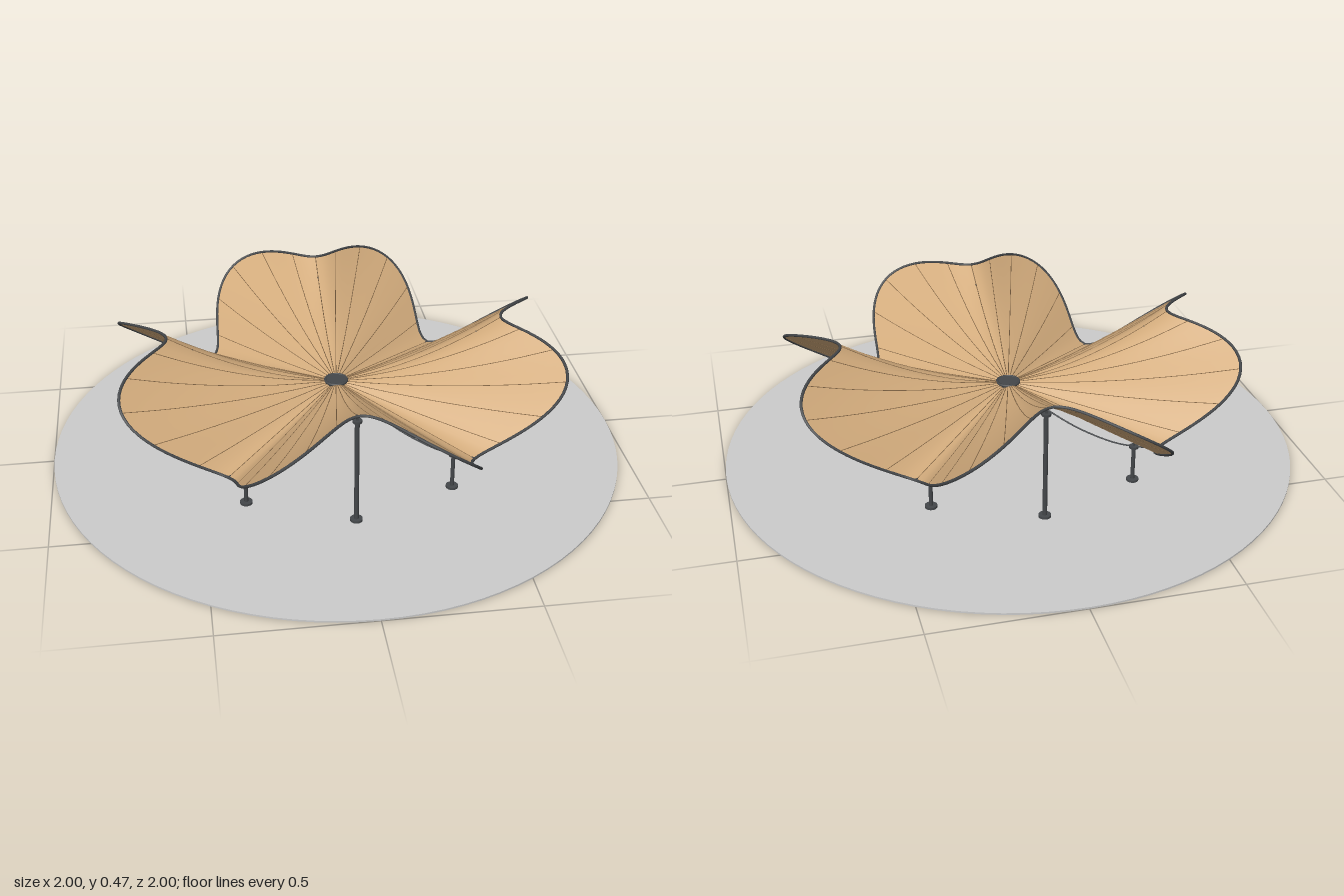
import * as THREE from 'three';

const CENTRE_Y = 0.25;
const mat = (color, extra = {}) => new THREE.MeshStandardMaterial({ color, roughness: 0.8, ...extra });

// 0 on a high ridge (along the axes), 1 in a low valley (along the diagonals)
function valleyness(angle) {
  const quarter = Math.PI / 2;
  const u = ((angle % quarter) + quarter) % quarter;
  return Math.min(u, quarter - u) / (Math.PI / 4);
}

// Point of the canopy at a given angle, s = 0 at the hub and 1 at the rim
function canopyPoint(angle, s, lift = 0) {
  const t = valleyness(angle);
  const r = s * (0.58 + 0.22 * Math.sin(4 * angle) ** 2);
  const rimY = 0.307 + 0.153 * Math.cos(Math.PI * t ** 1.4);
  const sag = 0.037 * (1 - t);
  const y = CENTRE_Y + (rimY - CENTRE_Y) * s - sag * 4 * s * (1 - s);
  return new THREE.Vector3(r * Math.cos(angle), y + lift, r * Math.sin(angle));
}

// One eighth of the canopy, from a ridge to a valley
function panelGeometry(start) {
  const across = 18, along = 16, positions = [], index = [];
  for (let i = 0; i <= across; i++) {
    for (let j = 0; j <= along; j++) {
      positions.push(...canopyPoint(start + (i / across) * Math.PI / 4, j / along).toArray());
    }
  }
  for (let i = 0; i < across; i++) {
    for (let j = 0; j < along; j++) {
      const a = i * (along + 1) + j, b = a + along + 1;
      if (j > 0) index.push(a, b, a + 1);
      index.push(b, b + 1, a + 1);
    }
  }
  const g = new THREE.BufferGeometry();
  g.setAttribute('position', new THREE.Float32BufferAttribute(positions, 3));
  g.setIndex(index);
  g.computeVertexNormals();
  return g;
}

export function createModel() {
  const model = new THREE.Group();
  model.name = 'petalCanopy';
  const fabric = mat(0xd2ab7c, { side: THREE.DoubleSide });
  const seamMat = mat(0x8a6c4a);
  const steel = mat(0x44474a);

  const add = (parent, name, geometry, material, x = 0, y = 0, z = 0) => {
    const mesh = new THREE.Mesh(geometry, material);
    mesh.name = name;
    mesh.position.set(x, y, z);
    parent.add(mesh);
    return mesh;
  };
  const tube = (points, radius, segments, sides = 6, closed = false) =>
    new THREE.TubeGeometry(new THREE.CatmullRomCurve3(points, closed), segments, radius, sides, closed);

  // Round ground plate
  add(model, 'ground', new THREE.CylinderGeometry(1, 1, 0.006, 96), mat(0xcccccc), 0, 0.003, 0);

  // Fabric panels, creased along ridges and valleys
  const canopy = new THREE.Group();
  canopy.name = 'canopy';
  model.add(canopy);
  for (let k = 0; k < 8; k++) {
    add(canopy, 'fabricPanel', panelGeometry(k * Math.PI / 4), fabric);
  }

  // Radial seams
  for (let k = 0; k < 48; k++) {
    const angle = k * Math.PI / 24;
    const points = [0.05, 0.3, 0.55, 0.8, 1].map(s => canopyPoint(angle, s));
    add(canopy, 'seam', tube(points, 0.0014, 12, 4), seamMat);
  }

  // Cable hemming the scalloped rim
  const rim = [];
  for (let k = 0; k < 144; k++) rim.push(canopyPoint(k * Math.PI / 72, 1));
  add(canopy, 'rimCable', tube(rim, 0.005, 288, 6, true), steel);

  // Central hub
  add(canopy, 'hubPlate', new THREE.CylinderGeometry(0.036, 0.036, 0.014, 24), steel, 0, CENTRE_Y, 0);
  add(canopy, 'hubRing', new THREE.TorusGeometry(0.038, 0.005, 8, 32), steel, 0, CENTRE_Y + 0.004, 0)
    .rotation.x = Math.PI / 2;

  // Masts: tall under the ridges, short under the valleys
  const mast = (name, angle, radius, top, thickness) => {
    const group = new THREE.Group();
    group.name = name;
    group.position.set(radius * Math.cos(angle), 0, radius * Math.sin(angle));
    model.add(group);
    const rimRadius = 0.58;
    const meetY = canopyPoint(angle, radius / rimRadius).y;
    add(group, 'post', new THREE.CylinderGeometry(thickness, thickness, top, 12), steel, 0, top / 2, 0);
    add(group, 'footPlate', new THREE.CylinderGeometry(0.021, 0.021, 0.008, 20), steel, 0, 0.01, 0);
    add(group, 'headPlate', new THREE.CylinderGeometry(0.016, 0.016, 0.008, 16), steel, 0, top, 0);
    add(group, 'pin', new THREE.CylinderGeometry(0.004, 0.004, meetY - top, 8), steel, 0, (top + meetY) / 2, 0);
  };
  for (let k = 0; k < 4; k++) {
    const ridge = k * Math.PI / 2, valley = ridge + Math.PI / 4;
    mast('ridgeMast', ridge, 0.497, 0.39, 0.008);
    mast('valleyMast', valley, 0.497, 0.138, 0.007);

    // Cable sagging below each valley, from hub to rim
    const profile = [[0.02, 0.245], [0.14, 0.192], [0.28, 0.148], [0.42, 0.132], [0.5, 0.14], [0.58, 0.157]];
    const points = profile.map(([r, y]) =>
      new THREE.Vector3(r * Math.cos(valley), y, r * Math.sin(valley)));
    add(model, 'valleyCable', tube(points, 0.003, 32), steel);
  }
  return model;
}
